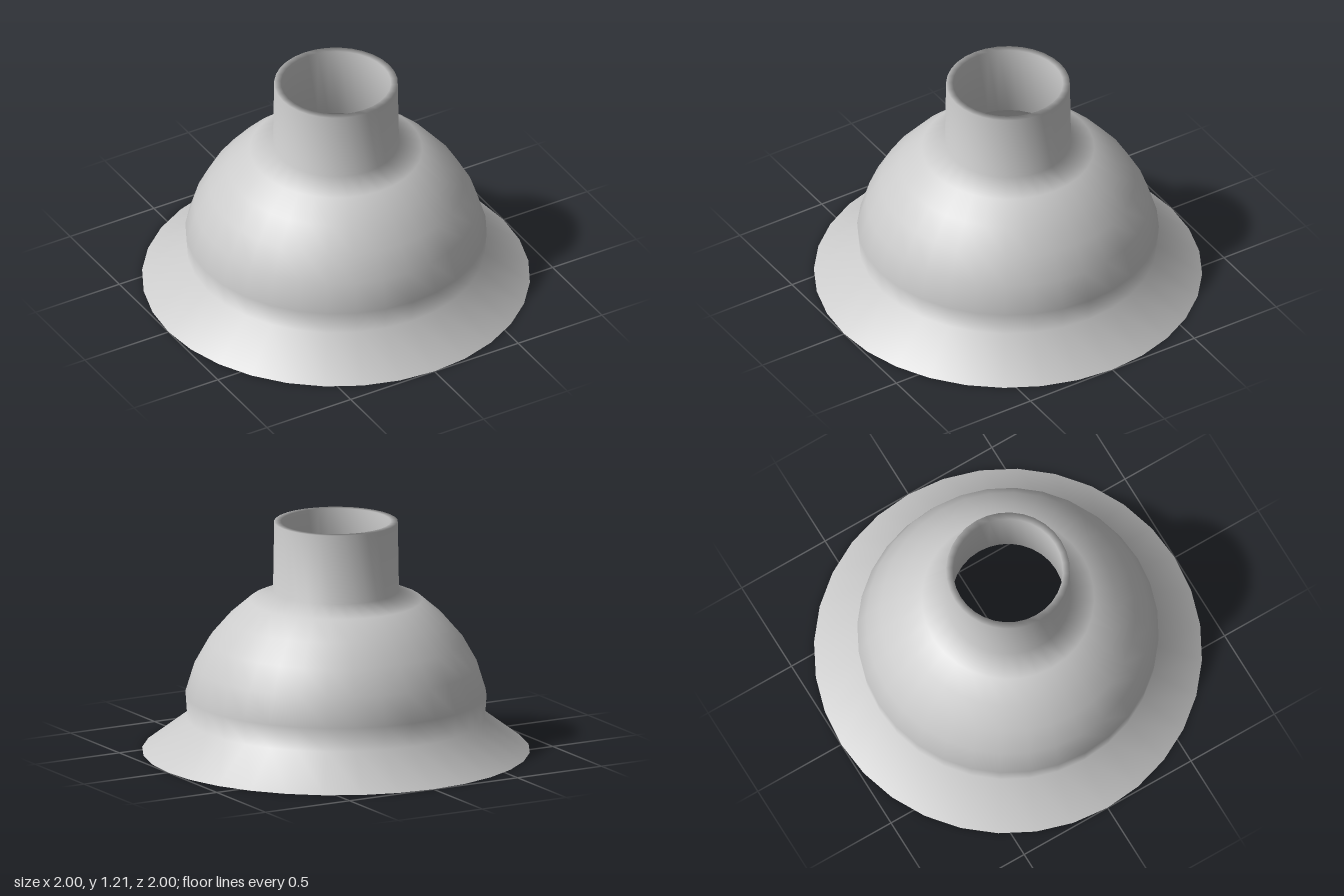
import * as THREE from 'three';

export function createModel() {
  const group = new THREE.Group();
  const material = new THREE.MeshStandardMaterial({ color: 0xcccccc, side: THREE.DoubleSide });

  // Closed wall section (radius, height): up the outside, down the inside
  const profile = [
    // flared foot
    [0.97, 0], [1, 0], [0.768, 0.175],
    // outer dome
    [0.777, 0.3], [0.73, 0.453], [0.656, 0.585], [0.557, 0.7], [0.445, 0.797], [0.325, 0.848],
    // neck and its rim
    [0.319, 1.21], [0.283, 1.21], [0.288, 0.822],
    // inner dome
    [0.425, 0.765], [0.531, 0.673], [0.624, 0.565], [0.695, 0.44], [0.74, 0.297], [0.732, 0.157],
    // underside of the foot
    [0.94, 0], [0.97, 0],
  ].map(([r, y]) => new THREE.Vector2(r, y));

  const shell = new THREE.Mesh(new THREE.LatheGeometry(profile, 32), material);
  shell.name = 'bellShell';
  group.add(shell);
  return group;
}
